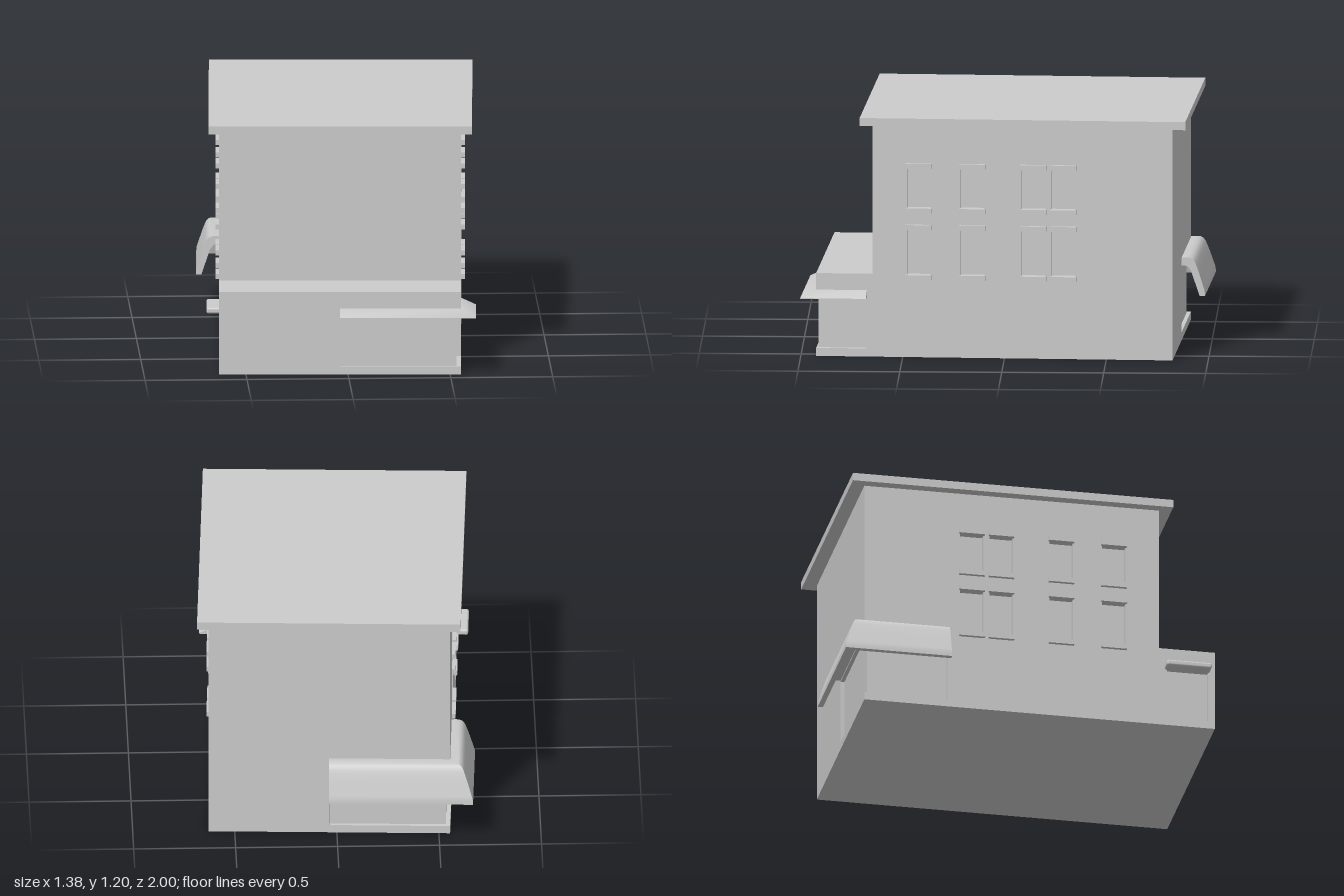
import * as THREE from 'three';
import { toCreasedNormals } from 'three/addons/utils/BufferGeometryUtils.js';
import { RoundedBoxGeometry } from 'three/addons/geometries/RoundedBoxGeometry.js';

const material = new THREE.MeshStandardMaterial({ color: 0xcccccc });
const W = 0.593, FRONT = 0.9, MAIN_FRONT = 0.622, BACK = -0.852;
const WALL = 0.03; // depth of the side walls, and so of the window recesses

function add(parent, name, geometry) {
  const mesh = new THREE.Mesh(geometry, material);
  mesh.name = name;
  parent.add(mesh);
  return mesh;
}

// Box given by its limits
function block(parent, name, x0, x1, y0, y1, z0, z1) {
  const mesh = add(parent, name, new THREE.BoxGeometry(x1 - x0, y1 - y0, z1 - z0));
  mesh.position.set((x0 + x1) / 2, (y0 + y1) / 2, (z0 + z1) / 2);
  return mesh;
}

// Storey slice with a floor outline of [x, z] points
function layer(parent, name, outline, y0, y1) {
  const shape = new THREE.Shape(outline.map(([x, z]) => new THREE.Vector2(x, -z)));
  const geometry = new THREE.ExtrudeGeometry(shape, { depth: y1 - y0, bevelEnabled: false });
  geometry.rotateX(-Math.PI / 2).translate(0, y0, 0);
  return add(parent, name, geometry);
}

// Awning mitred around a corner; profile points are [distance from wall, height].
// side = 1 wraps the front left corner (+x, +z), side = -1 the opposite one.
function cornerAwning(parent, name, profile, side, wallZ, endX, endZ) {
  const shape = new THREE.Shape(profile.map(p => new THREE.Vector2(...p)));
  let geometry = new THREE.ExtrudeGeometry(shape, { depth: 2, steps: 2, bevelEnabled: false });
  const pos = geometry.attributes.position;
  for (let i = 0; i < pos.count; i++) {
    const d = pos.getX(i), station = Math.round(pos.getZ(i));
    const x = station === 2 ? endX : side * (W + d);
    const z = station === 0 ? endZ : wallZ + side * d;
    pos.setXYZ(i, x, pos.getY(i), z);
  }
  geometry = toCreasedNormals(geometry, 0.6);
  return add(parent, name, geometry);
}

export function createModel() {
  const model = new THREE.Group();
  const building = new THREE.Group();
  building.name = 'building';
  building.rotation.y = THREE.MathUtils.degToRad(-2.5);
  model.add(building);

  // Ground floor with recessed corner shop windows and a side door
  const corner = {
    frontLeft: [[W, FRONT]], frontRight: [[-W, FRONT]],
    backRight: [[-W, BACK]], backLeft: [[W, BACK]],
  };
  const shopFront = [[W, 0.655], [0.571, 0.655], [0.571, 0.889], [0, 0.889], [0, FRONT]];
  const door = [[-W, 0.865], [-0.57, 0.865], [-0.57, 0.66], [-W, 0.66]];
  const shopBack = [[-W, -0.436], [-0.571, -0.436], [-0.571, -0.833], [0, -0.833], [0, BACK]];
  const full = [...corner.frontLeft, ...corner.frontRight, ...corner.backRight, ...corner.backLeft];
  layer(building, 'plinth', full, 0, 0.04);
  layer(building, 'shopFloor',
    [...shopFront, ...corner.frontRight, ...door, ...shopBack, ...corner.backLeft], 0.04, 0.3);
  layer(building, 'shopUpperWall',
    [...corner.frontLeft, ...corner.frontRight, ...shopBack, ...corner.backLeft], 0.3, 0.365);
  layer(building, 'floorBand', full, 0.365, 0.38);
  block(building, 'frontExtensionTop', -W, W, 0.38, 0.412, MAIN_FRONT, FRONT);

  // Upper floors and roof
  block(building, 'upperCore', -W + WALL, W - WALL, 0.38, 1.156, BACK, MAIN_FRONT);
  block(building, 'roof', -0.645, 0.647, 1.155, 1.195, -0.919, 0.682);

  // Side walls with window openings, sills and lintels
  const windowCentres = [0.395, 0.132, -0.168, -0.315];
  const windowRows = [[0.41, 0.634], [0.742, 0.939]];
  const wallShape = new THREE.Shape([
    new THREE.Vector2(BACK, 0.38), new THREE.Vector2(MAIN_FRONT, 0.38),
    new THREE.Vector2(MAIN_FRONT, 1.156), new THREE.Vector2(BACK, 1.156),
  ]);
  for (const z of windowCentres) {
    for (const [y0, y1] of windowRows) {
      wallShape.holes.push(new THREE.Path([
        new THREE.Vector2(z - 0.058, y0), new THREE.Vector2(z - 0.058, y1),
        new THREE.Vector2(z + 0.058, y1), new THREE.Vector2(z + 0.058, y0),
      ]));
    }
  }
  for (const side of [-1, 1]) {
    const wallGeometry = new THREE.ExtrudeGeometry(wallShape, { depth: WALL, bevelEnabled: false });
    // shape x runs along the model's z axis
    wallGeometry.rotateY(-Math.PI / 2).translate(side > 0 ? W : -W + WALL, 0, 0);
    add(building, side > 0 ? 'leftWall' : 'rightWall', wallGeometry);
    const trim = new THREE.Group();
    trim.name = side > 0 ? 'leftWindowTrim' : 'rightWindowTrim';
    building.add(trim);
    const xa = side * (W - 0.01), xb = side * (W + 0.018);
    for (const z of windowCentres) {
      for (const [y0, y1] of windowRows) {
        const x0 = Math.min(xa, xb), x1 = Math.max(xa, xb);
        block(trim, 'sill', x0, x1, y0 - 0.025, y0, z - 0.064, z + 0.064);
        block(trim, 'lintel', x0, x1, y1, y1 + 0.025, z - 0.064, z + 0.064);
      }
    }
  }

  // Wedge awning over the front corner window
  cornerAwning(building, 'frontAwning',
    [[-0.005, 0.295], [0.073, 0.295], [0.073, 0.299], [0.005, 0.33], [-0.005, 0.33]],
    1, FRONT, 0, 0.65);

  // Curved shell awning over the back corner window
  const outer = new THREE.SplineCurve([[0, 0.411], [0.035, 0.411], [0.06, 0.396], [0.078, 0.355],
    [0.096, 0.3], [0.113, 0.245]].map(p => new THREE.Vector2(...p))).getPoints(14);
  const shell = [
    [-0.005, 0.372], [0.028, 0.369], [0.046, 0.345], [0.066, 0.285], [0.088, 0.22], [0.114, 0.22],
    ...outer.reverse().map(p => [p.x, p.y]), [-0.005, 0.411],
  ];
  cornerAwning(building, 'backAwning', shell, -1, BACK, 0, -0.436);

  // Small canopy over the side door
  const canopy = add(building, 'doorCanopy', new RoundedBoxGeometry(0.075, 0.03, 0.225, 3, 0.01));
  canopy.position.set(-0.617, 0.313, 0.762);

  return model;
}
